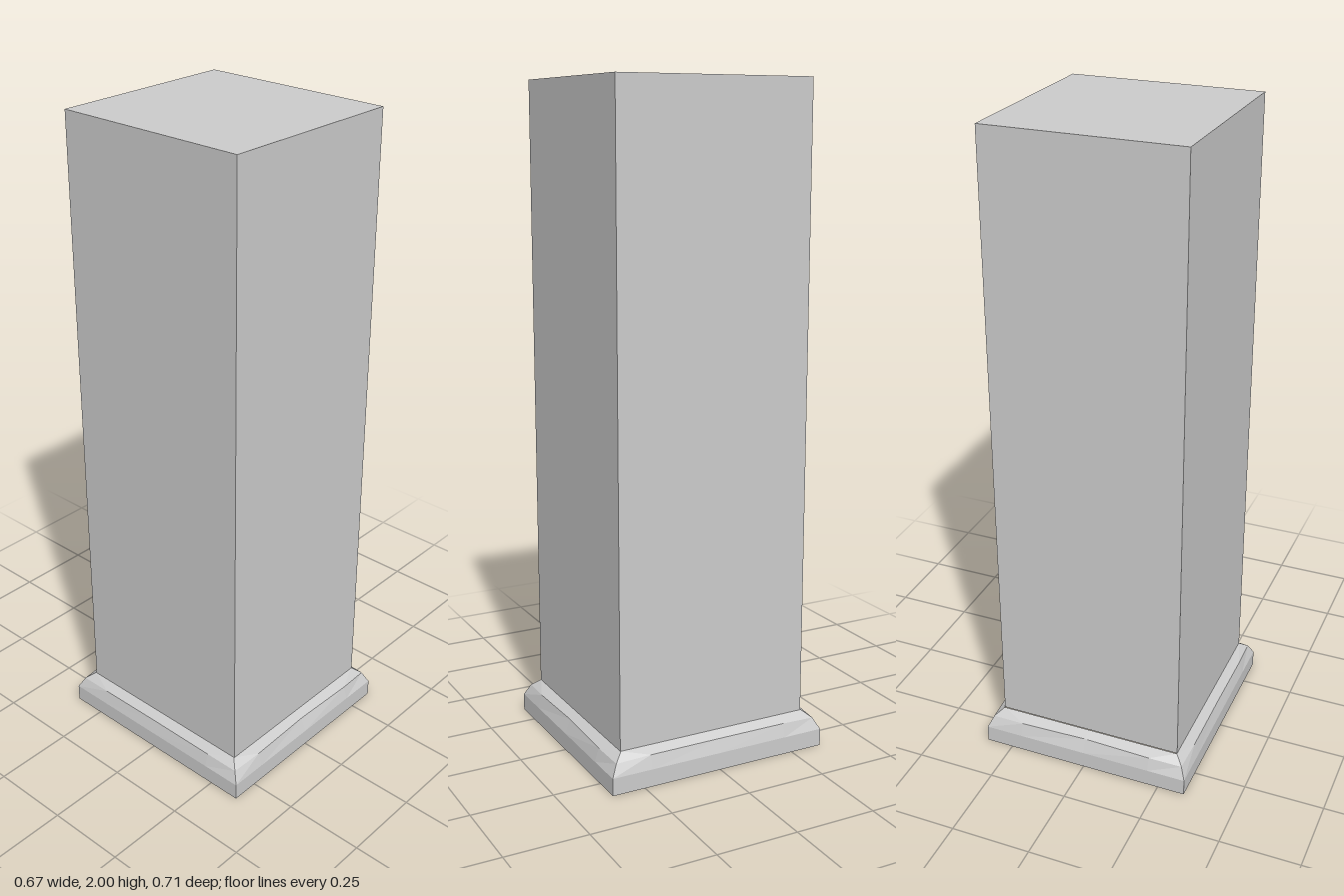
import * as THREE from 'three';

const material = new THREE.MeshStandardMaterial({ color: 0xcccccc, flatShading: true });

// Horizontal ring: front edge, then left edge, then both turned 180 degrees
function ring(front, left) {
  const half = [...front, ...left];
  return [...half, ...half.map(([x, y, z]) => [-x, y, -z])];
}

// Plain rectangular ring; inset positions mx, mz of the points along the edges
function rectRing(hx, hz, y, mx, mz) {
  return ring(
    [[-hx, y, hz], [-mx, y, hz], [0, y, hz], [mx, y, hz]],
    [[hx, y, hz], [hx, y, mz], [hx, y, 0], [hx, y, -mz]]
  );
}

// Joins rings from bottom to top and closes the underside
function loft(rings) {
  const positions = [];
  const same = (p, q) => p.every((v, i) => Math.abs(v - q[i]) < 1e-6);
  const tri = (a, b, c) => {
    if (!same(a, b) && !same(b, c) && !same(a, c)) positions.push(...a, ...b, ...c);
  };
  for (let r = 0; r < rings.length - 1; r++) {
    const lo = rings[r], hi = rings[r + 1], n = lo.length;
    for (let i = 0; i < n; i++) {
      const j = (i + 1) % n;
      tri(lo[i], lo[j], hi[j]);
      tri(lo[i], hi[j], hi[i]);
    }
  }
  const base = rings[0];
  for (let i = 0; i < base.length; i++) tri([0, base[0][1], 0], base[(i + 1) % base.length], base[i]);
  const geometry = new THREE.BufferGeometry();
  geometry.setAttribute('position', new THREE.Float32BufferAttribute(positions, 3));
  geometry.computeVertexNormals();
  return geometry;
}

export function createModel() {
  const group = new THREE.Group();
  group.name = 'pillar';

  // Square shaft
  const shaft = new THREE.Mesh(new THREE.BoxGeometry(0.59, 1.89, 0.614), material);
  shaft.name = 'shaft';
  shaft.position.set(0, 1.055, 0.002);
  group.add(shaft);

  // Plinth with a slightly bowed, chamfered shoulder
  const shoulder = ring(
    [[-0.32, 0.088, 0.334], [-0.215, 0.093, 0.34], [0, 0.095, 0.335], [0.215, 0.093, 0.34]],
    [[0.32, 0.088, 0.334], [0.324, 0.093, 0.225], [0.323, 0.093, 0], [0.324, 0.093, -0.225]]
  );
  const plinth = new THREE.Mesh(loft([
    rectRing(0.336, 0.353, 0, 0.215, 0.225),
    rectRing(0.336, 0.353, 0.053, 0.215, 0.225),
    shoulder,
    rectRing(0.295, 0.307, 0.11, 0.295, 0.307),
  ]), material);
  plinth.name = 'plinth';
  group.add(plinth);

  return group;
}
